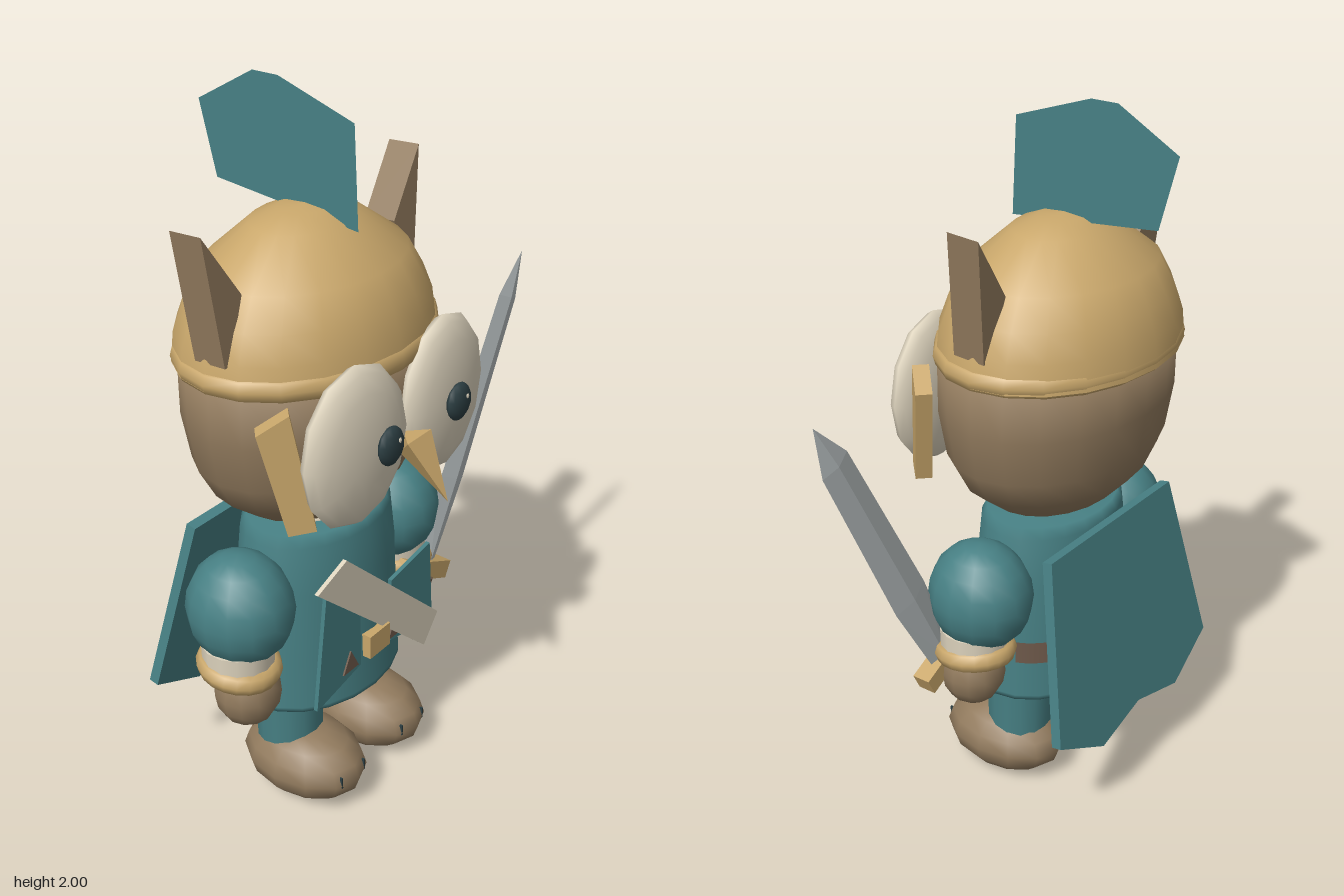
import * as THREE from 'three';
import { ConvexGeometry } from 'three/addons/geometries/ConvexGeometry.js';

const CX = -0.172; // the body's own mid plane

const mat = (name, color, extra = {}) => {
  const m = new THREE.MeshStandardMaterial({ color, ...extra });
  m.name = name;
  return m;
};

export function createModel() {
  const root = new THREE.Group();
  root.name = 'owlKnight';
  const brown = mat('brownFeather', 0x927b5e);
  const gold = mat('gold', 0xc9a76b);
  const teal = mat('tealCloth', 0x478084);
  const plumeTeal = mat('tealPlume', 0x478084, { side: THREE.DoubleSide });
  const cream = mat('cream', 0xddd3bd);
  const steel = mat('steel', 0xb8bfc0);
  const dark = mat('darkEye', 0x2c3e42);
  const leather = mat('darkLeather', 0x6f5a4b);

  const add = (name, geo, material, x = 0, y = 0, z = 0, parent = root) => {
    const m = new THREE.Mesh(geo, material);
    m.name = name;
    m.position.set(x, y, z);
    parent.add(m);
    return m;
  };
  const ball = (name, material, pos, r, seg = 12) => {
    const m = add(name, new THREE.SphereGeometry(1, seg, Math.round(seg * 0.7)), material, ...pos);
    m.scale.set(...r);
    return m;
  };
  const lathe = (name, material, pts, z, flat, seg = 20) => {
    const geo = new THREE.LatheGeometry(pts.map(p => new THREE.Vector2(...p)), seg);
    const m = add(name, geo, material, CX, 0, z);
    m.scale.z = flat;
    return m;
  };
  const plate = (pts, depth) => new THREE.ExtrudeGeometry(
    new THREE.Shape(pts.map(p => new THREE.Vector2(...p))), { depth, bevelEnabled: false });
  const hull = pts => new ConvexGeometry(pts.map(p => new THREE.Vector3(...p)));
  const ring = (name, material, pos, r, tube, flat, squash = 1) => {
    const geo = new THREE.TorusGeometry(r, tube, 8, 20);
    geo.rotateX(Math.PI / 2);
    const m = add(name, geo, material, ...pos);
    m.scale.set(1, squash, flat);
    return m;
  };

  // Head, helmet and brim
  lathe('head', brown, [[0, 0.87], [0.12, 0.875], [0.22, 0.91], [0.315, 0.985], [0.362, 1.07],
    [0.387, 1.2], [0.387, 1.36], [0, 1.4]], -0.048, 0.73);
  lathe('helmet', gold, [[0.39, 1.34], [0.38, 1.42], [0.35, 1.49], [0.302, 1.57],
    [0.16, 1.67], [0.08, 1.695], [0, 1.7]], -0.055, 0.77);
  ring('helmetBrim', gold, [CX, 1.358, -0.052], 0.37, 0.026, 0.765, 1.3);

  // Flat plume standing in the middle plane
  const plumeGeo = new THREE.ShapeGeometry(new THREE.Shape([
    [0.11, 1.66], [0.1, 1.925], [-0.13, 2], [-0.21, 2], [-0.39, 1.9], [-0.34, 1.705],
  ].map(p => new THREE.Vector2(-p[0], p[1]))));
  plumeGeo.rotateY(Math.PI / 2);
  add('plume', plumeGeo, plumeTeal, CX);

  // Beak
  add('beak', hull([[-0.05, 1.165, 0.3], [0.05, 1.165, 0.3], [0, 1.1, 0.24], [0, 1.165, 0.25],
    [0, 1.01, 0.39]]), gold, CX);

  // Paired parts, one pass for each side
  for (const s of [-1, 1]) {
    const side = s > 0 ? 'left' : 'right';
    const X = d => CX + s * d;

    // Eye disc with its pole facing forward
    const eyeGeo = new THREE.SphereGeometry(1, 12, 8).rotateX(Math.PI / 2);
    const eye = add(side + 'Eye', eyeGeo, cream, X(0.182), 1.197, 0.237);
    eye.scale.set(0.183, 0.219, 0.06);
    eye.rotation.y = s * 0.06;
    ball(side + 'Pupil', dark, [X(0.145), 1.21, 0.318], [0.047, 0.052, 0.021], 10);
    ball(side + 'EyeShine', cream, [X(0.145) + 0.012, 1.225, 0.335], [0.008, 0.008, 0.004], 6);

    // Ear tuft: wedge through the helmet side, leaning back
    const ear = [[s * 0.418, 1.745], [s * 0.3, 1.57], [s * 0.36, 1.41], [s * 0.378, 1.41]];
    add(side + 'Ear', plate(ear, 0.095), brown, CX, 0, -0.015).rotation.x = -0.052;

    // Cheek guard hugging the head beside the eye
    const guard = add(side + 'CheekGuard',
      plate([[0, 1.28], [0.08, 1.33], [0.14, 1.01], [0.07, 1.0]].map(([u, y]) => [-s * u, y]), 0.045),
      gold, X(0.372), 0, 0.085);
    guard.rotation.y = s * 0.8;

    // Arm, cuffs and hand
    ball(side + 'Arm', teal, [X(0.325), 0.695, -0.03], [0.138, 0.16, 0.15], 14);
    const cuff = add(side + 'InnerCuff', new THREE.CylinderGeometry(0.1, 0.096, 0.07, 14),
      cream, X(0.345), 0.565, -0.025);
    cuff.rotation.z = s * 0.04;
    const band = ring(side + 'OuterCuff', gold, [X(0.345), 0.528, -0.025], 0.085, 0.027, 1.06, 1.2);
    band.rotation.z = s * 0.05;
    band.rotation.x = 0.12;
    ball(side + 'Hand', brown, [X(0.335), 0.447, -0.008], [0.092, 0.107, 0.092]);

    // Leg and foot
    add(side + 'Leg', new THREE.CylinderGeometry(0.1, 0.093, 0.24, 14), teal, X(0.142), 0.28, -0.028);
    ball(side + 'Foot', brown, [X(0.141), 0.108, 0.023], [0.138, 0.108, 0.193], 12);
    for (const t of [-0.05, 0.05]) {
      add(side + 'ToeLine', new THREE.BoxGeometry(0.005, 0.035, 0.008), dark, X(0.141) + t, 0.118, 0.193);
    }
  }

  // Tunic, collar and the back of the belt
  lathe('tunic', teal, [[0, 0.33], [0.272, 0.332], [0.272, 0.345], [0.264, 0.5], [0.256, 0.7],
    [0.24, 0.84], [0.22, 0.87], [0, 0.875]], -0.035, 0.74);
  ring('collar', cream, [CX, 0.872, -0.035], 0.13, 0.01, 0.85);
  const belt = add('belt', new THREE.CylinderGeometry(0.268, 0.268, 0.068, 16, 1, true,
    Math.PI * 0.6, Math.PI * 0.8), leather, CX, 0.49, -0.035);
  belt.scale.z = 0.745;
  add('buckle', new THREE.BoxGeometry(0.09, 0.072, 0.03), gold, CX, 0.487, 0.168);

  // Tabard flaps and the belt studs showing on them
  add('rightFlap', plate([[-0.43, 0.4], [-0.24, 0.44], [-0.24, 0.64], [-0.385, 0.74]], 0.012), teal, 0, 0, 0.155);
  add('leftFlap', plate([[-0.1, 0.44], [0.1, 0.4], [0.08, 0.67], [-0.1, 0.64]], 0.012), teal, 0, 0, 0.155);
  for (const x of [-0.288, -0.085]) {
    add('beltStud', plate([[-0.033, 0.452], [0.033, 0.452], [0, 0.515]], 0.008), leather, x, 0, 0.164);
  }

  // Shoulder strap
  add('strap', plate([[-0.43, 0.775], [0.05, 0.338], [0.115, 0.42], [-0.31, 0.82]], 0.012), cream, 0, 0, 0.164);

  // Cape, tilted away from the back
  const cape = add('cape', plate([[-0.29, 0], [-0.375, -0.52], [-0.19, -0.615], [0, -0.57],
    [0.19, -0.615], [0.375, -0.52], [0.29, 0]], 0.03), teal, CX, 0.85, -0.241);
  cape.rotation.x = 0.195;

  // Sword: diamond blade, guard and grip
  const sword = new THREE.Group();
  sword.name = 'sword';
  sword.position.set(0.215, 0.49, 0.062);
  sword.rotation.set(0.028, 0, -0.45);
  root.add(sword);
  const blade = [[0.003, 0.958, 0]];
  for (const [y, w, t] of [[0, 0.045, 0.016], [0.27, 0.064, 0.018], [0.82, 0.05, 0.014]]) {
    blade.push([-w, y, 0], [w, y, 0], [0, y, t], [0, y, -t]);
  }
  add('blade', hull(blade), steel, 0, 0, 0, sword);
  add('crossGuard', new THREE.BoxGeometry(0.22, 0.055, 0.055), gold, -0.012, -0.015, 0, sword);
  add('grip', new THREE.CylinderGeometry(0.031, 0.031, 0.16, 8), leather, -0.058, -0.105, 0.035, sword);

  return root;
}
